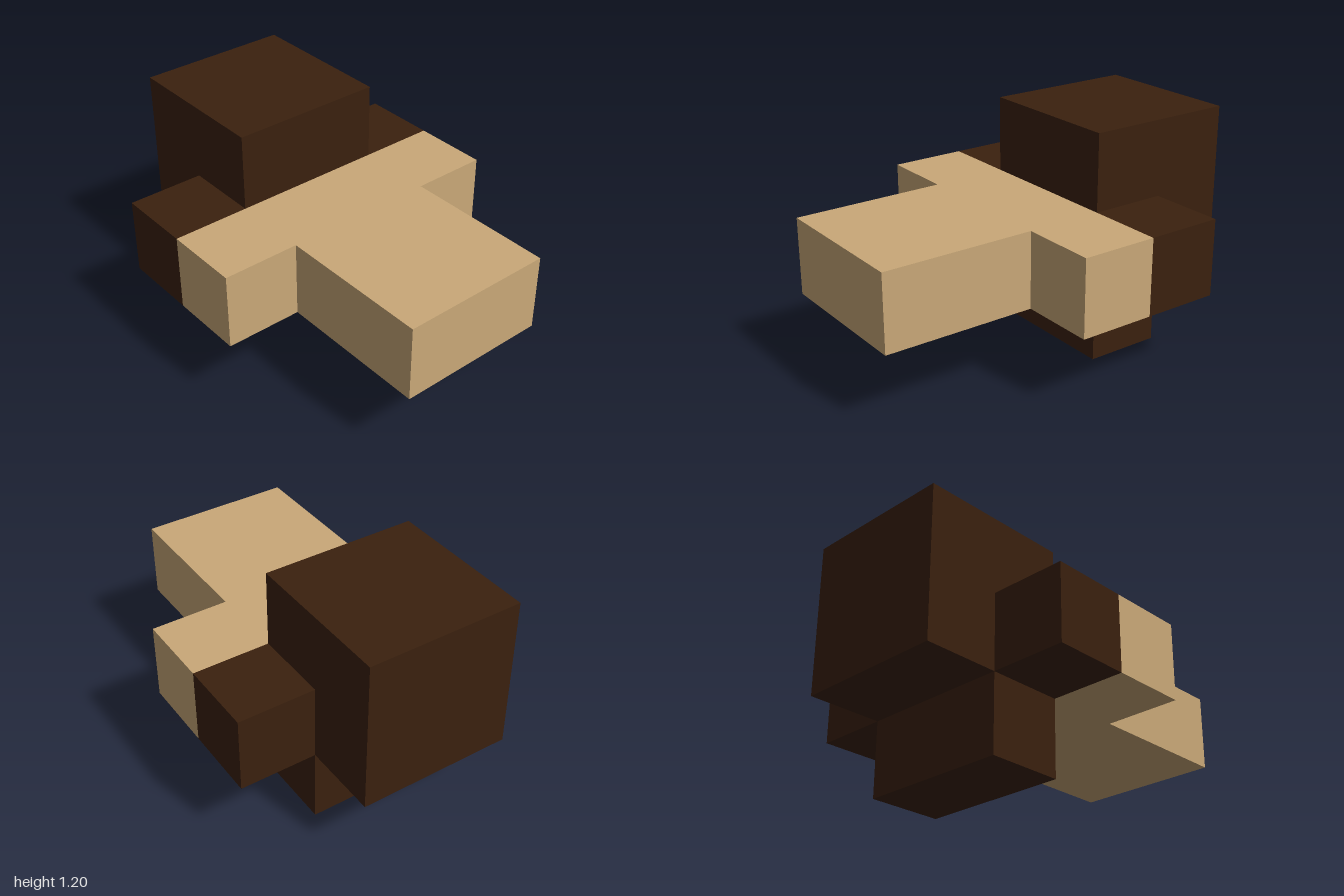
import * as THREE from 'three';

export function createModel() {
  const group = new THREE.Group();
  const tan = new THREE.MeshStandardMaterial({ color: 0xc9a878 });
  tan.name = 'tan';
  const darkBrown = new THREE.MeshStandardMaterial({ color: 0x3a200e });
  darkBrown.name = 'dark brown';

  const add = (name, geometry, material) => {
    const mesh = new THREE.Mesh(geometry, material);
    mesh.name = name;
    group.add(mesh);
  };

  // Box given by its lower and upper limits on each axis
  const block = (name, [x0, x1], [y0, y1], [z0, z1]) => {
    const geometry = new THREE.BoxGeometry(x1 - x0, y1 - y0, z1 - z0);
    geometry.translate((x0 + x1) / 2, (y0 + y1) / 2, (z0 + z1) / 2);
    add(name, geometry, darkBrown);
  };

  // T-shaped front slab, drawn in plan (shape y is -z) and raised by its thickness
  const plan = [
    [-0.4, -1], [0.4, -1], [0.4, -0.2], [0.8, -0.2],
    [0.8, 0.2], [-0.8, 0.2], [-0.8, -0.2], [-0.4, -0.2],
  ].map(([x, y]) => new THREE.Vector2(x, y));
  const slab = new THREE.ExtrudeGeometry(new THREE.Shape(plan), { depth: 0.4, bevelEnabled: false });
  slab.rotateX(-Math.PI / 2).translate(0, 0.4, 0);
  add('frontSlab', slab, tan);

  // Large rear block and the foot below it
  block('rearBlock', [-0.4, 0.4], [0.4, 1.2], [-1, -0.2]);
  block('foot', [-0.4, 0.4], [0, 0.4], [-0.6, -0.2]);

  // Mirrored side blocks behind the arms of the slab
  block('leftSideBlock', [0.4, 0.8], [0.4, 0.8], [-0.6, -0.2]);
  block('rightSideBlock', [-0.8, -0.4], [0.4, 0.8], [-0.6, -0.2]);

  return group;
}
